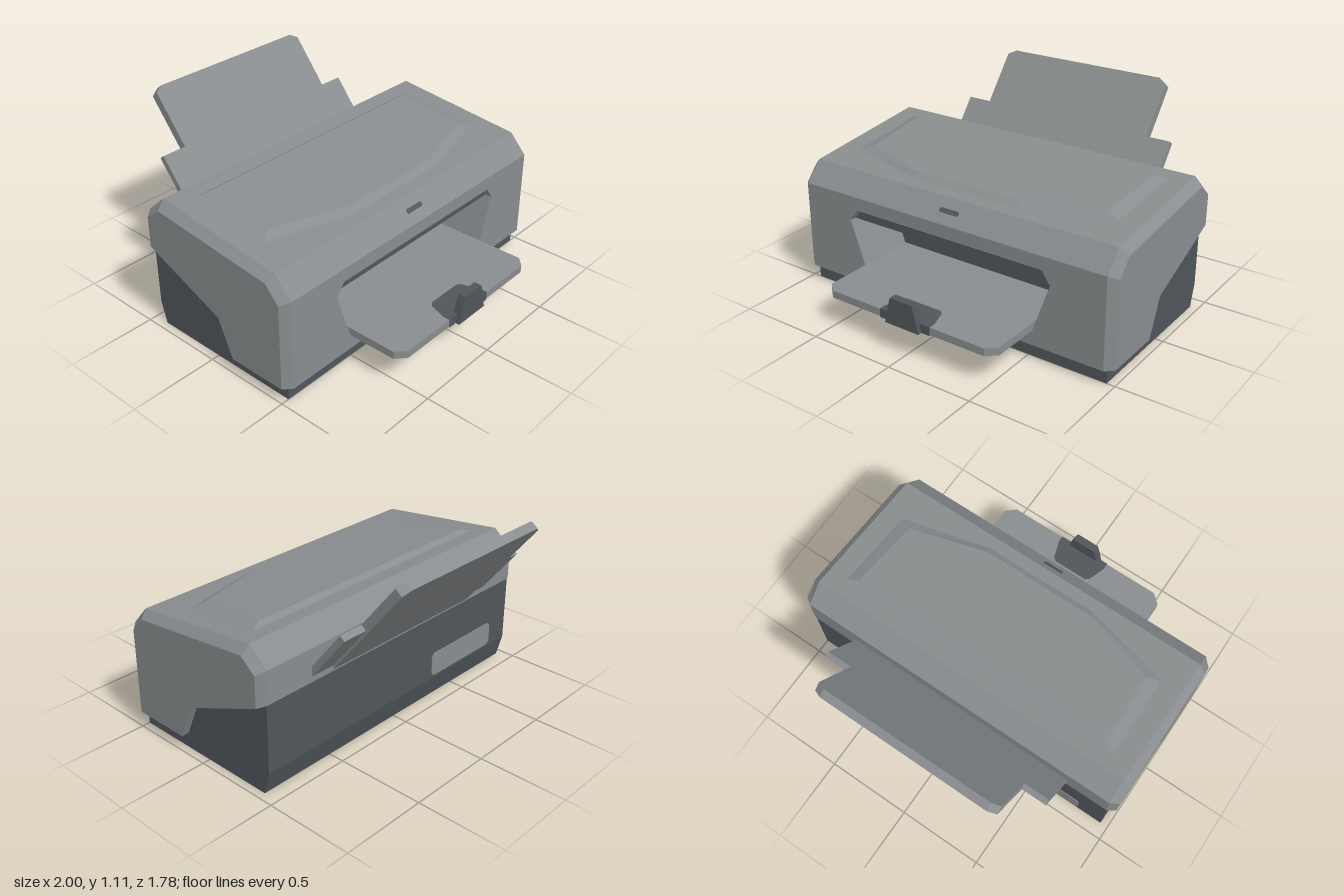
import * as THREE from 'three';

const shellMat = new THREE.MeshStandardMaterial({ color: 0x898d8f, side: THREE.DoubleSide });
shellMat.name = 'mid grey plastic';
const darkMat = new THREE.MeshStandardMaterial({ color: 0x50565b, side: THREE.DoubleSide });
darkMat.name = 'dark grey plastic';

// Skin a list of closed rings with flat faces; skip(ring, edge) leaves a quad out.
function loft(rings, { caps = true, axis = 'x', skip = () => false } = {}) {
  const out = [];
  const tri = (a, b, c) => out.push(...a, ...b, ...c);
  const n = rings[0].length;
  for (let r = 0; r < rings.length - 1; r++) {
    for (let i = 0; i < n; i++) {
      if (skip(r, i)) continue;
      const a = rings[r][i], b = rings[r][(i + 1) % n];
      const c = rings[r + 1][(i + 1) % n], d = rings[r + 1][i];
      tri(a, b, c);
      tri(a, c, d);
    }
  }
  if (caps) {
    const flat = (p) => (axis === 'x' ? new THREE.Vector2(p[2], p[1]) : new THREE.Vector2(p[0], p[2]));
    [rings[0], rings[rings.length - 1]].forEach((ring, end) => {
      for (const face of THREE.ShapeUtils.triangulateShape(ring.map(flat), [])) {
        const [i, j, k] = [...face].sort((p, q) => p - q);
        if (end) tri(ring[i], ring[j], ring[k]);
        else tri(ring[i], ring[k], ring[j]);
      }
    });
  }
  const g = new THREE.BufferGeometry();
  g.setAttribute('position', new THREE.Float32BufferAttribute(out, 3));
  g.computeVertexNormals();
  return g;
}

// A [z, y] side profile placed at a given x
const atX = (profile, x) => profile.map(([z, y]) => [x, y, z]);
const prism = (profile, half) => loft([atX(profile, half), atX(profile, -half)]);
const shape = (pts) => new THREE.Shape(pts.map(([x, y]) => new THREE.Vector2(x, y)));
const slab = (pts, depth) => new THREE.ExtrudeGeometry(shape(pts), { depth, bevelEnabled: false });

function roundedRect(w, h, r) {
  const s = new THREE.Shape();
  const x = w / 2 - r, y = h / 2 - r;
  s.absarc(x, y, r, 0, Math.PI / 2);
  s.absarc(-x, y, r, Math.PI / 2, Math.PI);
  s.absarc(-x, -y, r, Math.PI, Math.PI * 1.5);
  s.absarc(x, -y, r, Math.PI * 1.5, Math.PI * 2);
  return new THREE.ExtrudeGeometry(s, { depth: 0.005, bevelEnabled: false, curveSegments: 4 });
}

export function createModel() {
  const model = new THREE.Group();
  const add = (name, geometry, material, parent = model) => {
    const m = new THREE.Mesh(geometry, material);
    m.name = name;
    parent.add(m);
    return m;
  };

  // Shell with chamfered ends
  const outer = [[0.54, 0.09], [0.54, 0.6], [0.44, 0.71], [-0.34, 0.8],
    [-0.45, 0.7], [-0.45, 0.515], [0.07, 0.3], [0.16, 0.09]];
  const inner = [[0.5, 0.09], [0.5, 0.58], [0.42, 0.67], [-0.33, 0.752],
    [-0.42, 0.68], [-0.42, 0.505], [0.07, 0.3], [0.16, 0.09]];
  add('shell', loft([atX(inner, 1), atX(outer, 0.955), atX(outer, -0.955), atX(inner, -1)],
    { skip: (r, i) => r === 1 && i === 0 }), shellMat);

  // Front panel with the paper exit cut out
  const opening = [[-0.545, 0.17], [0.545, 0.17], [0.645, 0.455], [0.595, 0.525], [-0.595, 0.525], [-0.645, 0.455]];
  const front = shape([[-0.955, 0.09], [0.955, 0.09], [0.955, 0.6], [-0.955, 0.6]]);
  front.holes.push(new THREE.Path(opening.map(([x, y]) => new THREE.Vector2(x, y))));
  add('frontPanel', new THREE.ShapeGeometry(front), shellMat).position.z = 0.54;

  // Recess behind the opening: walls, back and the sloped ceiling
  const ringZ = (z) => opening.map(([x, y]) => [x, y, z]);
  add('exitWalls', loft([ringZ(0.54), ringZ(0.2)], { caps: false }), shellMat);
  add('exitBack', new THREE.ShapeGeometry(shape(opening)), darkMat).position.z = 0.2;
  add('exitCeiling', prism([[0.5, 0.455], [0.5, 0.525], [0.21, 0.525], [0.21, 0.39]], 0.645), darkMat);

  // Base, exposed at the sides and the back
  add('base', prism([[0.5, 0], [0.5, 0.09], [0.16, 0.09], [0.07, 0.3],
    [-0.445, 0.513], [-0.445, 0.13], [-0.41, 0]], 0.955), darkMat);

  // Raised lid panel following the slope of the top
  const topY = (z) => 0.71 + (0.44 - z) * 0.1154;
  const lidRing = (pts, lift) => pts.map(([x, z]) => [x, topY(z) + lift, z]);
  const lidOuter = [[0.85, -0.25], [-0.85, -0.25], [-0.84, 0.24], [-0.34, 0.37], [0.34, 0.37], [0.84, 0.24]];
  const lidInner = [[0.78, -0.215], [-0.78, -0.215], [-0.76, 0.2], [-0.33, 0.33], [0.33, 0.33], [0.76, 0.2]];
  add('lidPanel', loft([lidRing(lidOuter, -0.002), lidRing(lidInner, 0.022)], { axis: 'y' }), shellMat);

  // Button on the front slope
  const button = add('button', roundedRect(0.12, 0.026, 0.012), darkMat);
  button.position.set(0, 0.654, 0.489);
  button.rotation.x = -0.738;

  // Plate on the back
  const plate = add('rearPlate', roundedRect(0.53, 0.14, 0.03), shellMat);
  plate.position.set(-0.54, 0.215, -0.444);
  plate.rotation.y = Math.PI;

  // Leaning paper support with a wider lower part
  const support = new THREE.Group();
  support.name = 'paperSupport';
  support.position.set(-0.0225, 0.595, -0.443);
  support.rotation.x = -0.667;
  model.add(support);
  add('supportPanel', slab([[-0.537, -0.1], [0.537, -0.1], [0.537, 0.625], [0.49, 0.655],
    [-0.49, 0.655], [-0.537, 0.625]], 0.05), shellMat, support).position.z = -0.05;
  add('supportWings', slab([[-0.683, -0.1], [0.683, -0.1], [0.683, 0.305], [-0.683, 0.305]], 0.035),
    shellMat, support).position.z = -0.036;

  // Output tray, drawn in plan and laid flat
  const layFlat = (mesh, y) => {
    mesh.rotation.x = Math.PI / 2;
    mesh.position.y = y;
  };
  layFlat(add('outputTray', slab([[-0.545, 0.21], [0.545, 0.21], [0.545, 0.815], [0.49, 0.865],
    [-0.49, 0.865], [-0.545, 0.815]], 0.043), shellMat), 0.216);

  // Paper stop: inset foot and upright tab
  layFlat(add('stopFoot', slab([[-0.105, 0.71], [0.105, 0.71], [0.125, 0.725], [0.16, 0.83], [0.16, 0.868],
    [-0.16, 0.868], [-0.16, 0.83], [-0.125, 0.725]], 0.05), darkMat), 0.219);
  add('stopTab', slab([[-0.108, 0.168], [0.108, 0.168], [0.095, 0.23], [0.07, 0.318],
    [-0.07, 0.318], [-0.095, 0.23]], 0.045), darkMat).position.z = 0.845;

  return model;
}
